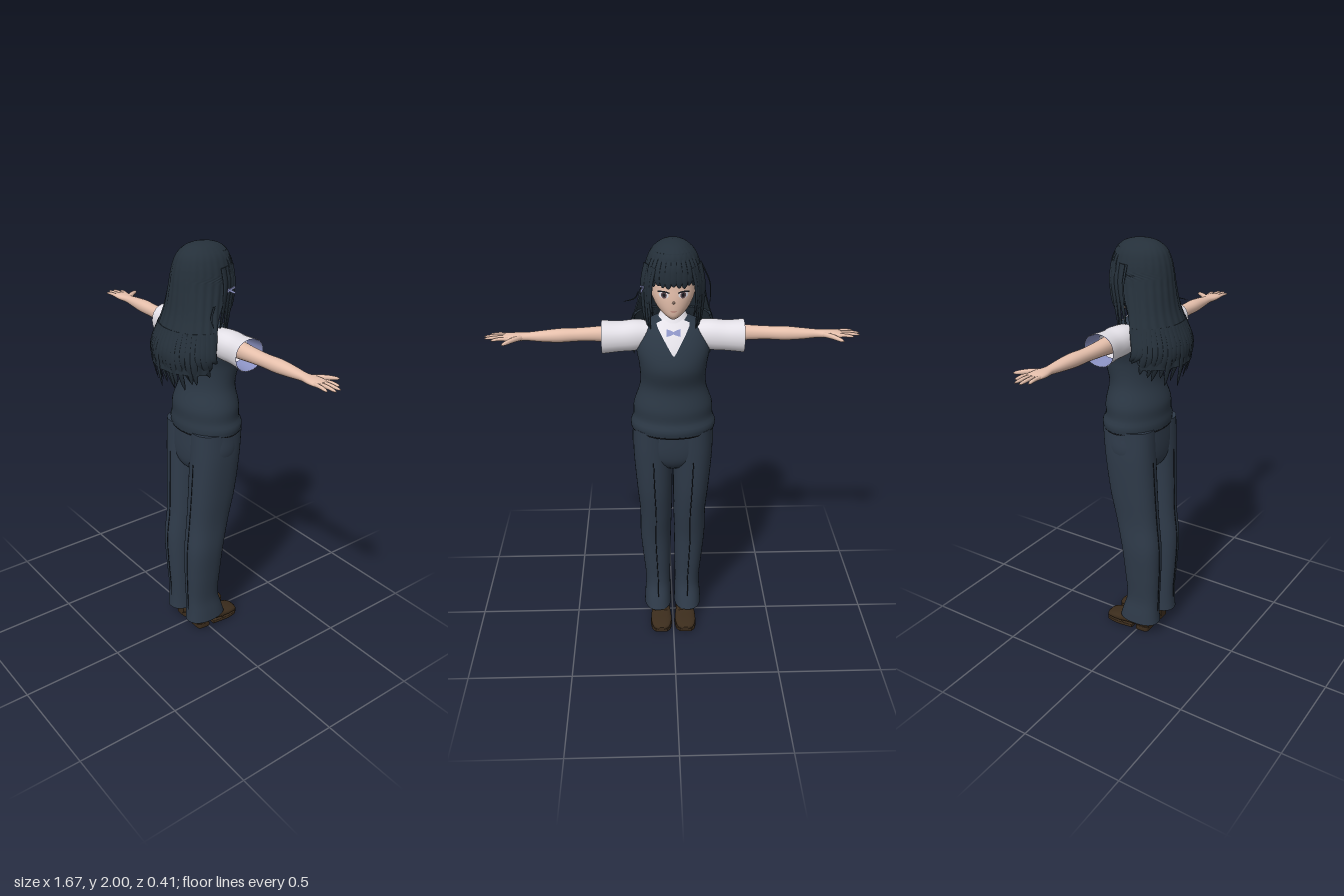
import * as THREE from 'three';

const V = (x, y, z) => new THREE.Vector3(x, y, z);
const mat = (name, color, double) => {
  const m = new THREE.MeshStandardMaterial({ color });
  m.name = name;
  if (double) m.side = THREE.DoubleSide;
  return m;
};

// Smooth interpolation of profile rows, keyed by their first value (ascending)
function prof(rows, k) {
  let i = 0;
  while (i < rows.length - 2 && k > rows[i + 1][0]) i++;
  const a = rows[i], b = rows[i + 1], p = rows[Math.max(i - 1, 0)], q = rows[Math.min(i + 2, rows.length - 1)];
  const h = b[0] - a[0], t = Math.min(Math.max((k - a[0]) / h, 0), 1);
  return a.map((_, c) => {
    const m0 = (b[c] - p[c]) / (b[0] - p[0]) * h, m1 = (q[c] - a[c]) / (q[0] - a[0]) * h;
    const d = b[c] - a[c];
    return a[c] + t * m0 + t * t * (3 * d - 2 * m0 - m1) + t * t * t * (m0 + m1 - 2 * d);
  });
}
const spw = (v, n) => Math.sign(v) * Math.pow(Math.abs(v), 2 / n);

// Skin a list of rings; closed rings get outward winding and optional flat caps
function skin(rings, { closed = true, caps = true } = {}) {
  const n = rings[0].length, pos = [], idx = [];
  rings.forEach(r => r.forEach(p => pos.push(p.x, p.y, p.z)));
  for (let i = 0; i < rings.length - 1; i++)
    for (let j = 0; j < (closed ? n : n - 1); j++) {
      const a = i * n + j, b = i * n + (j + 1) % n;
      idx.push(a, b, b + n, a, b + n, a + n);
    }
  if (closed && caps) [rings[0], rings[rings.length - 1]].forEach((r, e) => {
    const c = r.reduce((s, p) => s.add(p), V(0, 0, 0)).divideScalar(n), o = pos.length / 3;
    [c, ...r].forEach(p => pos.push(p.x, p.y, p.z));
    for (let j = 0; j < n; j++) {
      const a = o + 1 + j, b = o + 1 + (j + 1) % n;
      e ? idx.push(o, a, b) : idx.push(o, b, a);
    }
  });
  const P = i => V(pos[3 * i], pos[3 * i + 1], pos[3 * i + 2]).sub(rings[0][0]);
  let vol = 0;
  for (let i = 0; i < idx.length; i += 3) vol += P(idx[i]).dot(P(idx[i + 1]).cross(P(idx[i + 2])));
  if (closed && vol < 0) idx.reverse();
  const g = new THREE.BufferGeometry();
  g.setAttribute('position', new THREE.Float32BufferAttribute(pos, 3));
  g.setIndex(idx);
  g.computeVertexNormals();
  return g;
}
// Superellipse ring about c with half axes u and v
const ring = (c, u, v, n = 2, count = 32) => Array.from({ length: count }, (_, j) => {
  const a = j / count * Math.PI * 2;
  return c.clone().addScaledVector(u, spw(Math.cos(a), n)).addScaledVector(v, spw(Math.sin(a), n));
});
const steps = (a, b, n, f) => Array.from({ length: n + 1 }, (_, i) => f(a + (b - a) * i / n, i / n));
// Upright part from rows [y, xMin, xMax, zFront, zBack]
const upright = (rows, n = 2, s = 1, opt) => skin(steps(rows[0][0], rows[rows.length - 1][0], 40, y => {
  const [, x0, x1, f, b] = prof(rows, y);
  return ring(V(s * (x0 + x1) / 2, y, (f + b) / 2), V((x1 - x0) / 2, 0, 0), V(0, 0, (b - f) / 2), n, 40);
}), opt);
const sym = rows => rows.map(([y, r, f, b]) => [y, -r, r, f, b]);
// Part along x from rows [x, yCentre, zCentre, halfHeight, halfDepth]
const sideways = (rows, s, opt) => skin(steps(rows[0][0], rows[rows.length - 1][0], 30, x => {
  const [, y, z, h, d] = prof(rows, x);
  return ring(V(s * x, y, z), V(0, h, 0), V(0, 0, d), 2.2, 24);
}), opt);
// Flattened tapering strand along a curve
function lock(pts, side, w, th, shape = t => Math.sqrt(Math.max(1 - t * t, 0.0004))) {
  const c = new THREE.CatmullRomCurve3(pts);
  return skin(steps(0, 1, 12, t => {
    const nrm = c.getTangent(t).cross(side).normalize(), k = shape(t);
    return ring(c.getPoint(t), side.clone().multiplyScalar(w * k), nrm.multiplyScalar(th * k), 2, 8);
  }));
}
// Thin plate laid on the front of an upright part
const patch = (rows, f, off = 0.003) => skin(steps(0, 1, 14, v => steps(0, 1, 12, u => {
  const [x, y] = f(u * 2 - 1, v), [, , r, zf, zb] = prof(rows, y);
  const k = Math.sqrt(Math.max(1 - (x / r) ** 2, 0));
  return V(x, y, (zf + zb) / 2 - (zb - zf) / 2 * k - off);
})), { closed: false });
const oval = (x, y, w, h) => (u, v) => [x + w * u * Math.sin(Math.PI * v), y - h * Math.cos(Math.PI * v)];

export function createModel() {
  const model = new THREE.Group();
  const M = {
    hair: mat('hair navy', 0x25303a, true), vest: mat('vest navy', 0x2b3744), pants: mat('trouser navy', 0x2f3b4a),
    dark: mat('dark trim', 0x14181e, true), skin: mat('skin', 0xe6c0ac), shirt: mat('shirt white', 0xe6e3ea, true),
    lilac: mat('lilac', 0x8c93c4, true), shoe: mat('shoe brown', 0x3b2c1c), iris: mat('iris', 0x5a4348, true),
    lip: mat('lip', 0xb87870, true),
  };
  const add = (name, geo, m) => {
    const o = new THREE.Mesh(geo, m);
    o.name = name;
    model.add(o);
    return o;
  };

  // Torso and neckline
  const torso = sym([[1.13, .193, -.2, .098], [1.16, .196, -.204, .1], [1.19, .184, -.19, .095], [1.25, .18, -.19, .092],
    [1.35, .15, -.175, .058], [1.45, .152, -.198, .052], [1.53, .165, -.178, .06], [1.6, .15, -.135, .058],
    [1.64, .11, -.095, .045], [1.665, .055, -.07, .02]]);
  add('vest', upright(torso, 2), M.vest);
  add('vestHem', upright(sym([[1.122, .188, -.196, .094], [1.132, .194, -.201, .099]])), M.dark);
  add('shirtFront', patch(torso, (u, v) => [u * Math.min(.004 + .085 * v, .09 - .3 * Math.max(v - .8, 0)), 1.525 + .135 * v], .004), M.shirt);
  add('collar', upright(sym([[1.63, .085, -.105, .035], [1.66, .065, -.085, .03], [1.685, .052, -.07, .025]]), 2, 1, { caps: false }), M.shirt);
  add('ribbon', patch(torso, (u, v) => [u * (.01 + .02 * Math.abs(u)), 1.612 + (v - .5) * .02 * (.3 + Math.abs(u))], .009), M.lilac);
  add('neck', upright(sym([[1.6, .05, -.075, .025], [1.66, .043, -.07, .02], [1.74, .043, -.07, .02]])), M.skin);

  // Trousers, shoes, arms and hands on both sides
  const leg = [[.07, .008, .146, -.1, .115], [.12, .01, .143, -.085, .112], [.2, .012, .137, -.062, .112], [.35, .01, .15, -.068, .12],
    [.5, .008, .162, -.082, .123], [.65, .004, .162, -.112, .108], [.8, .002, .174, -.14, .1], [1, 0, .187, -.16, .092], [1.14, 0, .186, -.17, .088]];
  add('hips', upright(sym([[.9, .02, -.07, .03], [.94, .1, -.13, .075], [1, .18, -.16, .09], [1.14, .188, -.172, .09]]), 2.3), M.pants);
  const shoe = [[-.192, .015, .03], [-.185, .035, .038], [-.15, .05, .05], [-.1, .052, .06], [-.04, .045, .075], [.03, .042, .08], [.055, .036, .078], [.062, .025, .07]];
  const arm = [[.2, 1.575, -.04, .045, .042], [.32, 1.577, -.036, .034, .035], [.42, 1.576, -.04, .029, .032], [.5, 1.575, -.046, .03, .034],
    [.58, 1.574, -.05, .024, .029], [.65, 1.574, -.051, .017, .024], [.69, 1.574, -.054, .016, .035], [.73, 1.574, -.056, .013, .038], [.75, 1.574, -.056, .009, .035]];
  const sleeve = [[.11, 1.575, -.035, .06, .065], [.17, 1.572, -.04, .068, .07], [.24, 1.568, -.045, .067, .07], [.315, 1.566, -.045, .073, .077]];
  for (const s of [1, -1]) {
    const tag = s > 0 ? 'left' : 'right';
    add(tag + 'TrouserLeg', upright(leg, 2.3, s), M.pants);
    for (const e of [3, 4]) { // pressed creases
      const line = steps(.14, .98, 12, y => { const r = prof(leg, y); return V(s * (r[1] + r[2]) / 2, y, r[e]); });
      add(tag + 'Crease', new THREE.TubeGeometry(new THREE.CatmullRomCurve3(line), 40, .0025, 5), M.dark);
    }
    add(tag + 'Shoe', skin(steps(-.192, .062, 30, z => {
      const [, r, h] = prof(shoe, z);
      return ring(V(s * .062, (h + .014) / 2, z), V(r, 0, 0), V(0, (h - .014) / 2, 0), 2.6, 24);
    })), M.shoe);
    for (const [a, b, top] of [[-.188, -.03, .018], [0, .06, .03]]) // sole and heel
      add(tag + 'Sole', skin(steps(a, b, 14, z => ring(V(s * .062, top / 2, z), V(prof(shoe, z)[1] + .002, 0, 0), V(0, top / 2, 0), 8, 20))), M.shoe);
    const strap = add(tag + 'ShoeStrap', new THREE.TorusGeometry(.046, .006, 6, 20, Math.PI), M.shoe);
    strap.position.set(s * .062, .022, -.085);

    add(tag + 'Sleeve', sideways(sleeve, s, { caps: false }), M.shirt);
    add(tag + 'SleeveLining', sideways([[.22, 1.568, -.045, .062, .066], [.316, 1.566, -.045, .071, .075]], s, { caps: false }), M.lilac);
    add(tag + 'Arm', sideways(arm, s), M.skin);
    const digit = (x0, z0, x1, z1, r) => add(tag + 'Finger', lock([V(s * x0, 1.574, z0), V(s * (x0 + x1) / 2, 1.577, (z0 + z1) / 2), V(s * x1, 1.573, z1)],
      V(0, 1, 0), r * .9, r, t => (1 - .35 * t) * Math.sqrt(Math.max(1 - t ** 8, .01))), M.skin);
    [[-.084, .8, -.098], [-.066, .832, -.073], [-.047, .835, -.047], [-.03, .812, -.02]].forEach(([z0, x1, z1]) => digit(.725, z0, x1, z1, .0105));
    digit(.665, -.06, .745, -.155, .015);
  }

  // Head and face
  const head = sym([[1.672, .015, -.125, -.08], [1.685, .036, -.14, -.04], [1.715, .068, -.147, .02], [1.76, .092, -.15, .06],
    [1.8, .1, -.148, .08], [1.87, .1, -.14, .08], [1.95, .06, -.1, .04]]);
  add('head', upright(head), M.skin);
  const nose = add('nose', new THREE.ConeGeometry(.01, .024, 10), M.skin);
  nose.position.set(0, 1.756, -.152);
  nose.rotation.x = -1.25;
  add('mouth', patch(head, oval(0, 1.715, .014, .0025)), M.lip);
  for (const s of [1, -1]) {
    add('eyeWhite', patch(head, oval(s * .042, 1.786, .021, .014), .002), M.shirt);
    add('iris', patch(head, oval(s * .041, 1.786, .012, .014), .003), M.iris);
    add('pupil', patch(head, oval(s * .041, 1.787, .006, .008), .004), M.dark);
    add('eyelash', patch(head, (u, v) => [s * .043 + u * .025, 1.797 + .005 * (1 - u * u) + (v - .5) * .006], .005), M.dark);
    add('eyebrow', patch(head, (u, v) => [s * .044 + u * .024, 1.823 + .004 * (1 - u * u) + (v - .5) * .004], .003), M.hair);
  }

  // Hair shell: rows [y, halfWidth, zCentre, zBack, zFront, half arc measured from the back]
  const shell = [[1.46, .188, .045, .198, -.06, 1.3], [1.53, .197, .04, .198, -.06, 1.5], [1.6, .187, .035, .178, -.07, 1.6], [1.7, .158, .015, .143, -.1, 1.75],
    [1.8, .136, -.01, .127, -.15, 2.05], [1.845, .128, -.02, .122, -.162, 2.2], [1.87, .123, -.02, .118, -.163, Math.PI], [1.91, .113, -.022, .109, -.16, Math.PI],
    [1.95, .095, -.025, .092, -.148, Math.PI], [1.98, .064, -.026, .06, -.114, Math.PI], [1.993, .036, -.028, .025, -.075, Math.PI], [2, .001, -.03, -.029, -.031, Math.PI]];
  const onHair = (y, a, k = 1) => {
    const [, w, c, b, f] = prof(shell, y);
    return V(w * k * Math.sin(a), y, c + (Math.cos(a) > 0 ? b - c : c - f) * k * Math.cos(a));
  };
  add('hairShell', skin(steps(0, 1, 60, t => {
    const y = 2 - .54 * t ** 1.6, A = Math.min(prof(shell, y)[5], Math.PI);
    return steps(-A, A, 120, a => onHair(y, a, 1 + .012 * Math.min(1, t * 2) * Math.cos(a * 24)));
  }), { closed: false }), M.hair);

  // Loose ends of the back hair
  for (let i = 0; i < 23; i++) {
    const u = i / 11 - 1, a = u * 1.45, tip = 1.355 + .12 * u * u + .035 * (.5 + .5 * Math.sin(i * 2.4));
    const end = onHair(1.46, a, 1);
    end.y = tip;
    end.z -= .02 + .03 * (.5 + .5 * Math.sin(i * 1.7));
    add('hairEnd', lock([onHair(1.64, a, .98), onHair(1.53, a, 1.015), end], V(Math.cos(a), 0, -Math.sin(a)), .021, .007), M.hair);
  }
  // Fringe
  for (let i = 0; i < 11; i++) {
    const b = Math.PI + (i / 5 - 1) * .95, low = onHair(1.87, b, 1);
    low.y = 1.822 - .006 * Math.sin(i * 2.1);
    add('fringe', lock([onHair(1.96, b, .98), onHair(1.91, b, 1.015), onHair(1.87, b, 1.015), low], V(-Math.cos(b), 0, Math.sin(b)), .021, .006,
      t => Math.sqrt(Math.max(1 - t ** 6, .02)) * (.5 + .5 * t)), M.hair);
  }
  // Locks framing the face
  for (const s of [1, -1]) for (const [x, z, y, w] of [[.098, -.1, 1.6, .018], [.108, -.075, 1.56, .02], [.122, -.045, 1.62, .022], [.088, -.118, 1.68, .012]])
    add('sideLock', lock([V(s * (x - .008), 1.9, z - .01), V(s * (x + .008), 1.82, z - .012), V(s * (x + .008), 1.72, z), V(s * x, y, z + .012)],
      V(s * .45, 0, .89), w, .006), M.hair);
  // Stray wisps
  add('wisp', lock([V(-.12, 1.9, -.03), V(-.163, 1.8, -.02), V(-.165, 1.68, .01)], V(0, 0, 1), .006, .003), M.hair);
  add('wisp', lock([V(.15, 1.75, .02), V(.17, 1.71, .05), V(.225, 1.685, .08)], V(0, 0, 1), .006, .003), M.hair);

  // Crossed hair pin
  for (const r of [.5, -.5]) {
    const pin = add('hairPin', new THREE.BoxGeometry(.006, .009, .06), M.lilac);
    pin.position.set(.128, 1.8, -.078);
    pin.rotation.set(r, -.35, 0);
  }
  return model;
}
